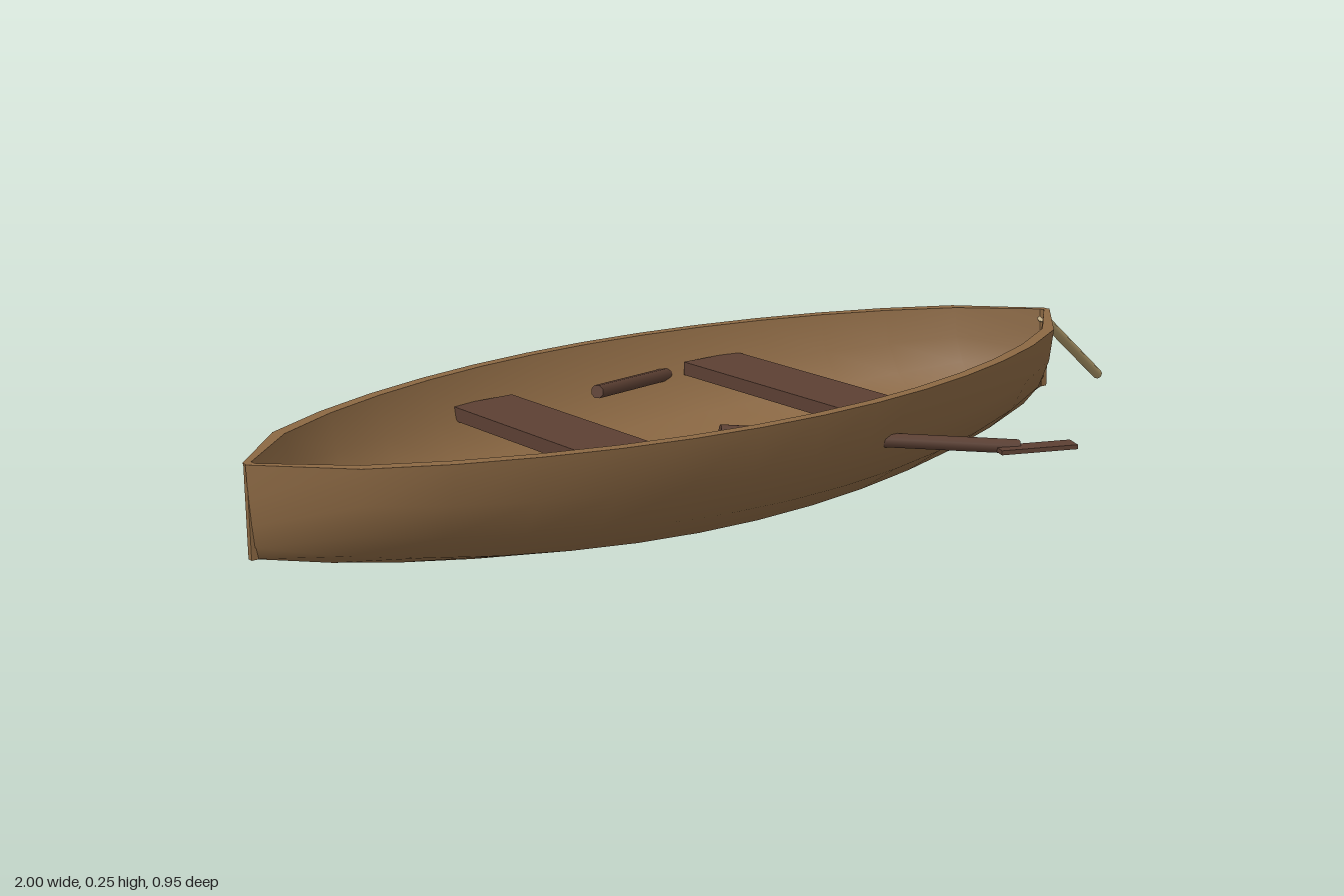
import * as THREE from 'three';

const STATIONS = 14, RIBS = 9, TOP = 0.255, MID_X = -0.125, HALF = 0.875;

// Point on the hull skin: station i along the boat, angle a from the left rim (0) under the keel to PI
function skin(i, a, inset) {
  const t = (2 * i) / STATIONS - 1;
  const width = 0.34 * Math.pow(Math.max(Math.sin((Math.PI * i) / STATIONS), 0), 0.6);
  const w = Math.max(width - inset, 0.005 - inset * 0.15);
  const depth = TOP * (1 - 0.39 * t * t) - inset;
  const rake = 1 - 0.008 * Math.sin(a) - inset * 0.7;
  return [MID_X + t * HALF * rake, TOP - depth * Math.sin(a), w * Math.cos(a)];
}

// Surface lofted through all stations
function loft(point, n, flip) {
  const pos = [], index = [];
  for (let i = 0; i <= STATIONS; i++) {
    for (let j = 0; j <= n; j++) {
      pos.push(...point(i, j));
      if (i === STATIONS || j === n) continue;
      const a = i * (n + 1) + j, b = a + n + 1;
      if (flip) index.push(a, b, a + 1, a + 1, b, b + 1);
      else index.push(a, a + 1, b, a + 1, b + 1, b);
    }
  }
  const g = new THREE.BufferGeometry();
  g.setAttribute('position', new THREE.Float32BufferAttribute(pos, 3));
  g.setIndex(index);
  g.computeVertexNormals();
  return g;
}

// Round bar between two points
function bar(from, to, radius, material, name) {
  const a = new THREE.Vector3(...from), b = new THREE.Vector3(...to);
  const dir = b.clone().sub(a);
  const mesh = new THREE.Mesh(new THREE.CylinderGeometry(radius, radius, dir.length(), 8), material);
  mesh.position.copy(a).add(b).multiplyScalar(0.5);
  mesh.quaternion.setFromUnitVectors(new THREE.Vector3(0, 1, 0), dir.normalize());
  mesh.name = name;
  return mesh;
}

export function createModel() {
  const boat = new THREE.Group();
  boat.name = 'rowingBoat';
  const hullWood = new THREE.MeshStandardMaterial({ color: 0x8b6843 });
  hullWood.name = 'hullWood';
  const darkWood = new THREE.MeshStandardMaterial({ color: 0x5c4033 });
  darkWood.name = 'darkWood';
  const ropeTan = new THREE.MeshStandardMaterial({ color: 0xb09a6a });
  ropeTan.name = 'ropeTan';

  const add = (geometry, material, name, parent = boat) => {
    const mesh = new THREE.Mesh(geometry, material);
    mesh.name = name;
    parent.add(mesh);
    return mesh;
  };

  // Hull skins
  const wall = 0.02;
  add(loft((i, j) => skin(i, (Math.PI * j) / RIBS, 0), RIBS, false), hullWood, 'outerHull');
  add(loft((i, j) => skin(i, (Math.PI * j) / RIBS, wall), RIBS, true), hullWood, 'innerHull');

  // Flat rim closing the gap between the skins on each side
  for (const [a, side] of [[0, 'left'], [Math.PI, 'right']]) {
    add(loft((i, j) => skin(i, a, j * wall), 1, a === 0), hullWood, side + 'Rim');
  }

  // Narrow stem posts at both ends
  for (const s of [-1, 1]) {
    const stem = add(new THREE.BoxGeometry(0.014, 0.154, 0.01), hullWood, s < 0 ? 'sternPost' : 'bowPost');
    stem.position.set(MID_X + s * (HALF - 0.009), 0.178, 0);
  }

  // Bench seats
  for (const x of [-0.385, 0.13]) {
    add(new THREE.BoxGeometry(0.127, 0.025, 0.56), darkWood, 'seat').position.set(x, 0.187, 0);
  }

  // Mirrored oars
  for (const s of [-1, 1]) {
    const oar = new THREE.Group();
    oar.name = s > 0 ? 'frontOar' : 'backOar';
    oar.add(bar([-0.21, 0.207, s * 0.175], [0.26, 0.149, s * 0.41], 0.0125, darkWood, 'oarShaft'));
    const blade = add(new THREE.BoxGeometry(0.14, 0.008, 0.035), darkWood, 'oarBlade', oar);
    blade.position.set(0.28, 0.149, s * 0.433);
    blade.rotation.y = -s * 0.4;
    boat.add(oar);
  }

  // Mooring rope off the bow
  boat.add(bar([0.735, 0.24, 0], [0.993, 0.068, -0.085], 0.01, ropeTan, 'mooringRope'));

  return boat;
}
